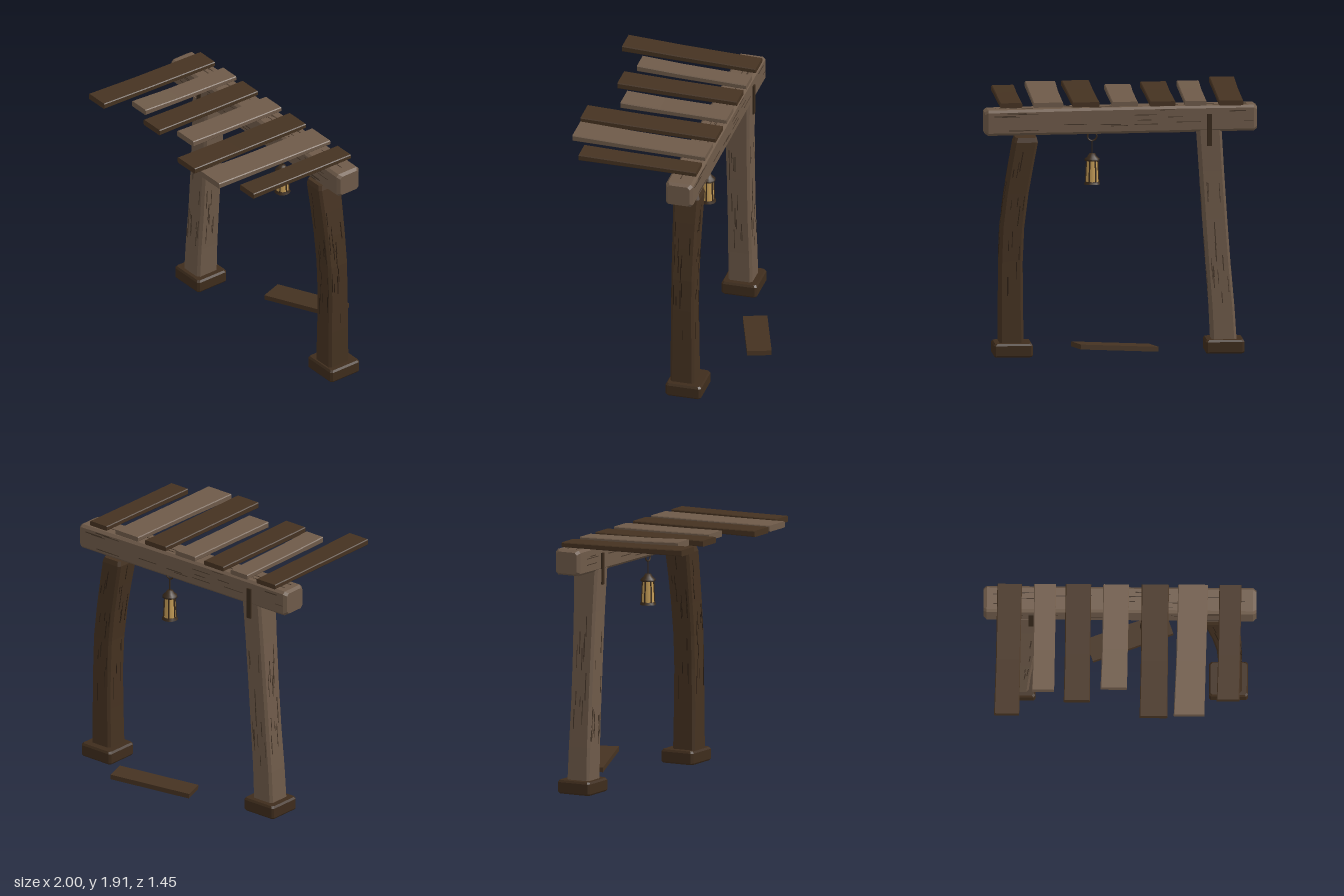
import * as THREE from 'three';

const mat = (name, color, side = THREE.FrontSide) => {
  const m = new THREE.MeshStandardMaterial({ color, side });
  m.name = name;
  return m;
};

// Chamfered bar through stations [t, x, z, halfX, halfZ], running along +y
function bar(stations, c) {
  const rings = stations.map(([t, x, z, hx, hz]) => [
    [hx, -hz + c], [hx, hz - c], [hx - c, hz], [-hx + c, hz],
    [-hx, hz - c], [-hx, -hz + c], [-hx + c, -hz], [hx - c, -hz],
  ].map(([u, v]) => [x + u, t, z + v]));
  const pos = [];
  const tri = (...p) => p.forEach((q) => pos.push(...q));
  for (let k = 0; k < rings.length - 1; k++) {
    for (let i = 0; i < 8; i++) {
      const j = (i + 1) % 8;
      const a = rings[k][i], b = rings[k][j], e = rings[k + 1][j], d = rings[k + 1][i];
      tri(a, d, b);
      tri(b, d, e);
    }
  }
  const lo = rings[0], hi = rings[rings.length - 1];
  for (let i = 1; i < 7; i++) {
    tri(lo[0], lo[i], lo[i + 1]);
    tri(hi[0], hi[i + 1], hi[i]);
  }
  const g = new THREE.BufferGeometry();
  g.setAttribute('position', new THREE.Float32BufferAttribute(pos, 3));
  g.computeVertexNormals();
  return g;
}

let seed = 7;
const rand = () => (seed = (seed * 16807) % 2147483647) / 2147483647;

// Interpolated station at position t
function stationAt(stations, t) {
  let k = 0;
  while (k < stations.length - 2 && stations[k + 1][0] < t) k++;
  const a = stations[k], b = stations[k + 1], f = (t - a[0]) / (b[0] - a[0]);
  return a.map((v, i) => v + (b[i] - v) * f);
}

export function createModel() {
  const model = new THREE.Group();
  model.name = 'woodenShelter';
  const light = mat('weatheredWood', 0x6e5a49);
  const dark = mat('darkWood', 0x453221);
  const foot = mat('footWood', 0x3e2c1c);
  const grainLight = mat('lightGrain', 0x46372a);
  const grainDark = mat('darkGrain', 0x2a1d12);
  const metal = mat('agedMetal', 0x38291b);
  const glass = mat('amberGlass', 0xc29a55);

  const add = (parent, name, geo, m, x = 0, y = 0, z = 0) => {
    const mesh = new THREE.Mesh(geo, m);
    mesh.name = name;
    mesh.position.set(x, y, z);
    parent.add(mesh);
    return mesh;
  };

  // Timber with thin grain streaks on its four faces
  function timber(name, stations, m, grainMat, count) {
    const g = new THREE.Group();
    g.name = name;
    add(g, name + 'Body', bar(stations, 0.018), m);
    const t0 = stations[1][0], t1 = stations[stations.length - 2][0];
    for (let i = 0; i < count; i++) {
      const len = 0.06 + rand() * 0.12;
      const t = t0 + len / 2 + rand() * (t1 - t0 - len);
      const s = stationAt(stations, t);
      const p = stationAt(stations, t - len / 2), q = stationAt(stations, t + len / 2);
      const onX = i % 2, sign = i % 4 < 2 ? 1 : -1, off = (rand() - 0.5) * 1.5;
      const w = 0.004 + rand() * 0.004;
      const streak = add(g, 'grainStreak',
        new THREE.BoxGeometry(onX ? 0.004 : w, len, onX ? w : 0.004), grainMat,
        s[1] + s[3] * (onX ? sign : off), t, s[2] + s[4] * (onX ? off : sign));
      streak.rotation.z = -Math.atan2(q[1] - p[1], len);
    }
    model.add(g);
    return g;
  }

  // Cross beam, lying along x
  const beam = timber('crossBeam', [
    [-1, -1.745, -0.21, 0.08, 0.085], [-0.975, -1.745, -0.21, 0.095, 0.103],
    [-0.4, -1.74, -0.21, 0.097, 0.1], [0.3, -1.733, -0.21, 0.096, 0.1],
    [0.975, -1.726, -0.21, 0.093, 0.103], [1, -1.726, -0.21, 0.078, 0.085],
  ], light, grainLight, 70);
  beam.rotation.z = -Math.PI / 2;

  // Leaning post and bowed post
  timber('lightPost', [
    [0.08, -0.76, -0.205, 0.092, 0.093], [0.35, -0.745, -0.205, 0.09, 0.09],
    [0.65, -0.72, -0.205, 0.088, 0.087], [1, -0.695, -0.205, 0.087, 0.088],
    [1.35, -0.672, -0.205, 0.087, 0.092], [1.66, -0.652, -0.205, 0.088, 0.1],
  ], light, grainLight, 50);
  timber('darkPost', [
    [0.08, 0.802, -0.205, 0.09, 0.093], [0.4, 0.806, -0.205, 0.086, 0.09],
    [0.7, 0.805, -0.205, 0.085, 0.087], [0.95, 0.795, -0.205, 0.086, 0.088],
    [1.2, 0.764, -0.205, 0.086, 0.091], [1.4, 0.73, -0.205, 0.087, 0.095],
    [1.58, 0.697, -0.205, 0.088, 0.1], [1.615, 0.695, -0.205, 0.078, 0.09],
  ], dark, grainDark, 50);

  // Foot blocks
  for (const [x, z] of [[-0.762, -0.21], [0.795, -0.225]]) {
    add(model, 'footBlock', bar([
      [0, 0, 0, 0.135, 0.127], [0.012, 0, 0, 0.143, 0.135],
      [0.085, 0, 0, 0.143, 0.135], [0.1, 0, 0, 0.133, 0.125],
    ], 0.015), foot, x, x < 0 ? 0.008 : 0, z);
  }

  // Roof planks: back x centre, front x centre, half width, front z, front y
  [
    [-0.808, -0.825, 0.092, 0.71, 1.882], [-0.548, -0.56, 0.082, 0.525, 1.883],
    [-0.305, -0.312, 0.096, 0.6, 1.868], [-0.028, -0.042, 0.097, 0.5, 1.866],
    [0.258, 0.25, 0.102, 0.72, 1.866], [0.535, 0.51, 0.112, 0.705, 1.866],
    [0.808, 0.795, 0.083, 0.585, 1.858],
  ].forEach(([xb, xf, hw, zf, yf], i) => {
    const plank = add(model, 'roofPlank', bar([
      [-0.31, xb, -1.857, hw * 0.98, 0.018],
      [zf * 0.4, (xb + xf) / 2, -(1.857 + yf) / 2, hw * 0.97, 0.02],
      [zf, xf, -yf, hw, 0.023],
    ], 0.006), i % 2 ? light : dark);
    plank.rotation.x = Math.PI / 2;
  });

  // Fallen plank on the ground behind
  const fallen = add(model, 'fallenPlank',
    new THREE.BoxGeometry(0.623, 0.036, 0.18), dark, 0.067, 0.1, -0.545);
  fallen.rotation.set(0, 0.327, 0.085);

  // Metal straps joining the beam and the light post
  for (const z of [-0.105, -0.316]) {
    add(model, 'jointStrap', new THREE.BoxGeometry(0.036, 0.235, 0.012), metal, -0.65, 1.66, z);
  }

  // Hanging lantern
  const lantern = new THREE.Group();
  lantern.name = 'lantern';
  lantern.position.set(0.205, 0, -0.21);
  model.add(lantern);
  add(lantern, 'hangingRing', new THREE.TorusGeometry(0.034, 0.006, 6, 16), metal, 0, 1.61);
  add(lantern, 'hangingRod', new THREE.CylinderGeometry(0.005, 0.005, 0.11, 6), metal, 0, 1.525);
  const cap = [[0, 1.485], [0.022, 1.482], [0.035, 1.46], [0.054, 1.445], [0.056, 1.43], [0, 1.428]]
    .reverse().map(([r, y]) => new THREE.Vector2(r, y));
  add(lantern, 'lanternCap', new THREE.LatheGeometry(cap, 12), metal);
  add(lantern, 'lanternGlass', new THREE.CylinderGeometry(0.038, 0.047, 0.16, 12), glass, 0, 1.35);
  add(lantern, 'lanternBase', new THREE.CylinderGeometry(0.052, 0.06, 0.02, 12), metal, 0, 1.265);
  for (let i = 0; i < 6; i++) {
    const holder = new THREE.Group();
    holder.name = 'lanternBar';
    holder.rotation.y = (i * Math.PI) / 3;
    add(holder, 'bar', new THREE.BoxGeometry(0.008, 0.165, 0.008), metal, 0.045, 1.35).rotation.z = 0.05;
    lantern.add(holder);
  }
  return model;
}
